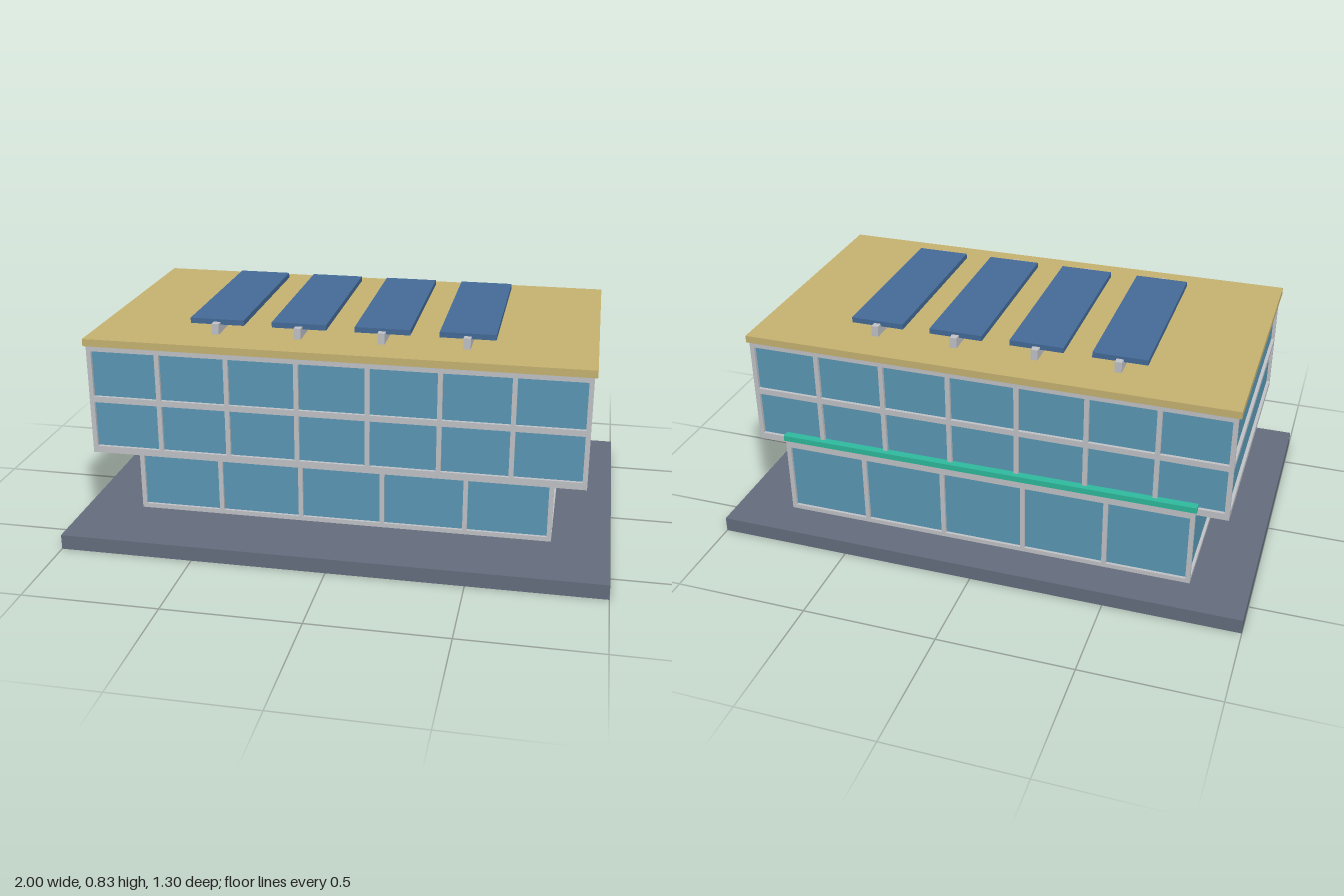
import * as THREE from 'three';

const material = (name, color) => {
  const m = new THREE.MeshStandardMaterial({ color });
  m.name = name;
  return m;
};

export function createModel() {
  const paving = material('slate paving', 0x666f80);
  const glass = material('blue glass', 0x5c9bb8);
  const metal = material('pale grey frame', 0xc3c5ca);
  const sand = material('sand roof', 0xc9b573);
  const solar = material('solar blue', 0x456c9a);
  const teal = material('teal trim', 0x2fbd9f);

  const model = new THREE.Group();
  model.name = 'officeBuilding';

  // Box given by its extents on each axis
  const block = (parent, name, mat, [x0, x1], [y0, y1], [z0, z1]) => {
    const mesh = new THREE.Mesh(new THREE.BoxGeometry(x1 - x0, y1 - y0, z1 - z0), mat);
    mesh.position.set((x0 + x1) / 2, (y0 + y1) / 2, (z0 + z1) / 2);
    mesh.name = name;
    parent.add(mesh);
  };

  // One glazed storey block: glass core, rails all round, mullions front and back
  const glazedBlock = ({ name, x, y, z, inset, bays, post, rails }) => {
    const g = new THREE.Group();
    g.name = name;
    model.add(g);
    block(g, 'glazing', glass, [-x + inset, x - inset], [y[0] + 0.005, y[1] - 0.005], [z[0] + inset, z[1] - inset]);
    rails.forEach((r) => block(g, 'rail', metal, [-x, x], r, z));
    const span = x - post / 2;
    for (let i = 0; i <= bays; i++) {
      const cx = -span + (2 * span * i) / bays;
      const px = [cx - post / 2, cx + post / 2];
      block(g, 'frontMullion', metal, px, y, [z[1] - inset - 0.004, z[1]]);
      block(g, 'backMullion', metal, px, y, [z[0], z[0] + inset + 0.004]);
    }
    return g;
  };

  // Ground slab
  block(model, 'groundSlab', paving, [-1, 1], [0, 0.056], [-0.65, 0.65]);

  // Recessed ground floor, with its rear head rail
  const lower = glazedBlock({
    name: 'groundFloor', x: 0.785, y: [0.056, 0.346], z: [-0.503, 0.361],
    inset: 0.011, bays: 5, post: 0.017, rails: [[0.056, 0.073], [0.335, 0.346]],
  });
  block(lower, 'rearHeadRail', metal, [-0.785, 0.785], [0.343, 0.363], [-0.503, -0.485]);

  // Overhanging two-storey volume
  glazedBlock({
    name: 'upperFloors', x: 0.9, y: [0.345, 0.757], z: [-0.489, 0.519],
    inset: 0.012, bays: 7, post: 0.017, rails: [[0.345, 0.371], [0.543, 0.565], [0.738, 0.757]],
  });

  // Teal ledge along the rear
  block(model, 'rearLedge', teal, [-0.79, 0.79], [0.363, 0.385], [-0.507, -0.45]);

  // Roof
  block(model, 'roof', sand, [-0.91, 0.91], [0.757, 0.784], [-0.494, 0.523]);

  // Solar panels on support beams
  for (const x of [-0.456, -0.152, 0.152, 0.456]) {
    const g = new THREE.Group();
    g.name = 'solarPanel';
    model.add(g);
    block(g, 'supportBeam', metal, [x - 0.013, x + 0.013], [0.784, 0.824], [-0.354, 0.383]);
    block(g, 'panel', solar, [x - 0.1, x + 0.1], [0.814, 0.834], [-0.327, 0.355]);
  }
  return model;
}
